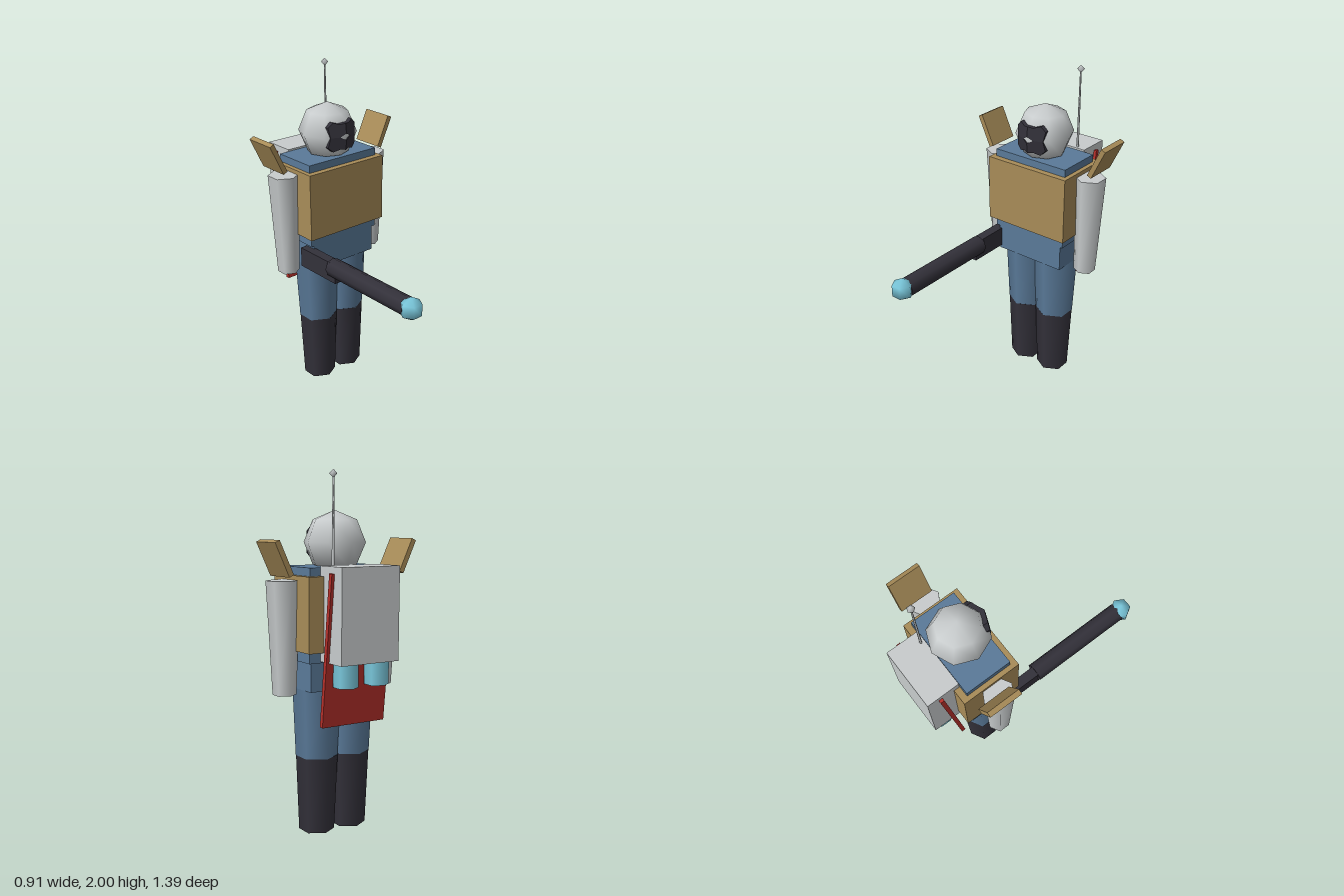
import * as THREE from 'three';

const mat = (name, color) => Object.assign(new THREE.MeshStandardMaterial({ color }), { name });

export function createModel() {
  const blue = mat('suit blue', 0x5a7a99);
  const tan = mat('armour tan', 0xa88c58);
  const grey = mat('light grey', 0xc8cccd);
  const dark = mat('charcoal', 0x33313a);
  const cyan = mat('glow cyan', 0x7ac8dc);
  const red = mat('cape red', 0xb6302a);

  const model = new THREE.Group();
  model.name = 'armouredTrooper';
  const Z = -0.35; // body centre line

  const add = (name, geometry, material, x, y, z) => {
    const m = new THREE.Mesh(geometry, material);
    m.name = name;
    m.position.set(x, y, z);
    model.add(m);
    return m;
  };
  const box = (name, material, w, h, d, x, y, z) =>
    add(name, new THREE.BoxGeometry(w, h, d), material, x, y, z);
  const tube = (name, material, rTop, rBottom, h, sides, x, y, z) =>
    add(name, new THREE.CylinderGeometry(rTop, rBottom, h, sides), material, x, y, z);

  // Trunk
  box('pelvis', blue, 0.46, 0.16, 0.26, 0, 0.9, -0.343);
  box('torso', blue, 0.5, 0.51, 0.285, 0, 1.235, Z);
  box('chestArmour', tan, 0.555, 0.405, 0.36, 0, 1.2425, Z);

  // Head
  const headR = 0.174;
  add('head', new THREE.SphereGeometry(headR, 8, 4), grey, 0, 1.618, Z);

  // Visor: four mirrored quadrants folded back around the face
  const outline = [[0.035, 0], [0.09, 0], [0.1, 0.06], [0.07, 0.088], [0.03, 0.075], [0, 0.08], [0, 0.02]];
  for (const sx of [-1, 1]) for (const sy of [-1, 1]) {
    const shape = new THREE.Shape(outline.map(([x, y]) => new THREE.Vector2(x * sx, y * sy)));
    const geo = new THREE.ExtrudeGeometry(shape, { depth: 0.05, bevelEnabled: false });
    const p = geo.attributes.position;
    for (let i = 0; i < p.count; i++)
      p.setZ(i, p.getZ(i) - 0.05 + headR + 0.004 - 0.41 * Math.abs(p.getX(i)) - 0.12 * Math.abs(p.getY(i)));
    geo.computeVertexNormals();
    add('visor', geo, dark, 0, 1.618, Z);
  }

  // Limbs, shoulder plates and backpack thrusters, one per side
  for (const s of [-1, 1]) {
    tube('trouserLeg', blue, 0.13, 0.113, 0.39, 6, s * 0.109, 0.625, -0.343).scale.x = 1.05;
    tube('boot', dark, 0.113, 0.096, 0.43, 6, s * 0.107, 0.215, -0.343).scale.x = 1.05;
    tube('arm', grey, 0.092, 0.065, 0.62, 6, s * 0.326, 1.11, Z).rotation.z = -s * 0.015;
    box('shoulderPlate', tan, 0.03, 0.2, 0.2, s * 0.401, 1.54, -0.39).rotation.z = -s * 0.44;
    tube('thruster', cyan, 0.067, 0.067, 0.18, 6, s * 0.1, 0.95, -0.613);
  }

  // Backpack with cape and antenna
  box('backpack', grey, 0.37, 0.51, 0.2, 0, 1.245, -0.595);
  box('cape', red, 0.405, 0.83, 0.025, 0, 1.05, -0.574).rotation.x = -0.1;
  tube('antennaRod', grey, 0.005, 0.008, 0.5, 5, 0.122, 1.73, -0.518);
  add('antennaTip', new THREE.SphereGeometry(0.023, 5, 2), grey, 0.122, 1.977, -0.518);

  // Long gun pointing forward on the right side
  box('gunStock', dark, 0.06, 0.12, 0.32, -0.246, 0.9, -0.12);
  tube('gunBarrel', dark, 0.056, 0.056, 0.64, 8, -0.242, 0.918, 0.3).rotation.x = Math.PI / 2;
  add('gunTip', new THREE.SphereGeometry(0.07, 6, 3), cyan, -0.246, 0.92, 0.64);

  return model;
}
